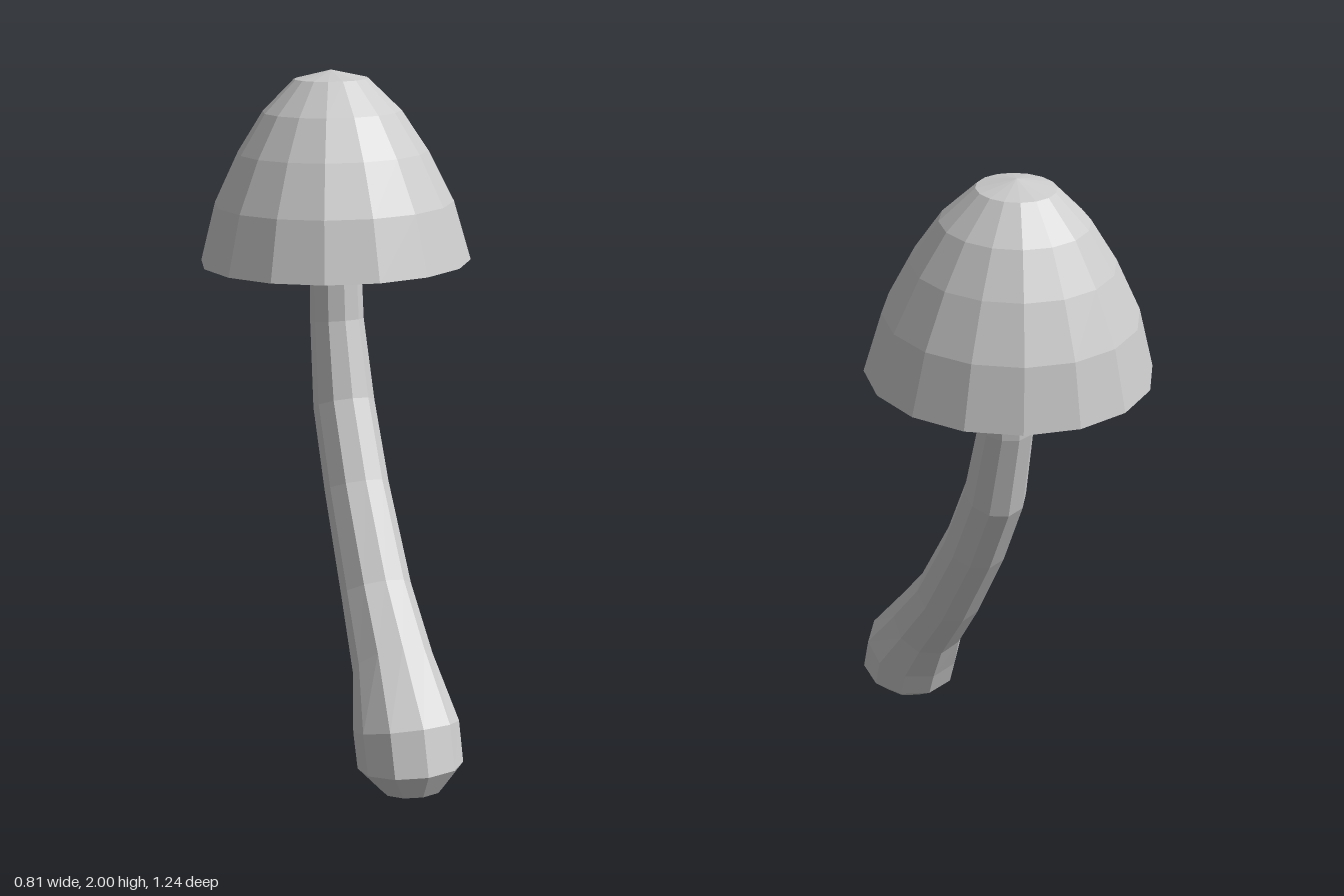
import * as THREE from 'three';

// Skin a stack of tilted rings [radius, y, z, tilt]; radius 0 closes an end.
function loft(rings, sides) {
  const pos = [], idx = [];
  for (const [r, y, z, tilt] of rings) {
    for (let j = 0; j < sides; j++) {
      const a = (j / sides) * Math.PI * 2;
      const f = r * Math.cos(a);
      pos.push(r * Math.sin(a), y + f * Math.sin(tilt), z + f * Math.cos(tilt));
    }
  }
  for (let i = 0; i < rings.length - 1; i++) {
    for (let j = 0; j < sides; j++) {
      const k = (j + 1) % sides;
      const a = i * sides + j, b = i * sides + k, c = a + sides, d = b + sides;
      if (rings[i][0] > 0) idx.push(a, b, d);
      else idx.push(a, d, c);
      if (rings[i][0] > 0 && rings[i + 1][0] > 0) idx.push(a, d, c);
    }
  }
  const geo = new THREE.BufferGeometry();
  geo.setAttribute('position', new THREE.Float32BufferAttribute(pos, 3));
  geo.setIndex(idx);
  geo.computeVertexNormals();
  return geo;
}

export function createModel() {
  const group = new THREE.Group();
  group.name = 'mushroom';
  const material = new THREE.MeshStandardMaterial({ color: 0xcccccc, flatShading: true });
  const add = (name, geo) => {
    const mesh = new THREE.Mesh(geo, material);
    mesh.name = name;
    group.add(mesh);
  };

  // Curved stem with a swollen foot
  add('stem', loft([
    [0, 0.005, 0.485, 0],
    [0.09, 0.023, 0.488, 0.17],
    [0.153, 0.09, 0.47, 0.2],
    [0.154, 0.195, 0.432, 0.36],
    [0.12, 0.345, 0.315, 0.78],
    [0.105, 0.52, 0.165, 0.61],
    [0.097, 0.785, -0.015, 0.49],
    [0.093, 1.01, -0.135, 0.44],
    [0.081, 1.255, -0.2, 0.19],
    [0.077, 1.455, -0.215, 0.04],
    [0, 1.455, -0.215, 0],
  ], 10));

  // Bell-shaped cap with a flat underside, leaning slightly back: [radius, height]
  const profile = [
    [0, 0], [0.405, 0], [0.357, 0.175], [0.283, 0.325],
    [0.206, 0.443], [0.11, 0.537], [0, 0.5625],
  ];
  add('cap', loft(profile.map(([r, h]) => [r, 1.4375 + h, -0.213 - 0.063 * h, 0.0435]), 16));

  return group;
}
